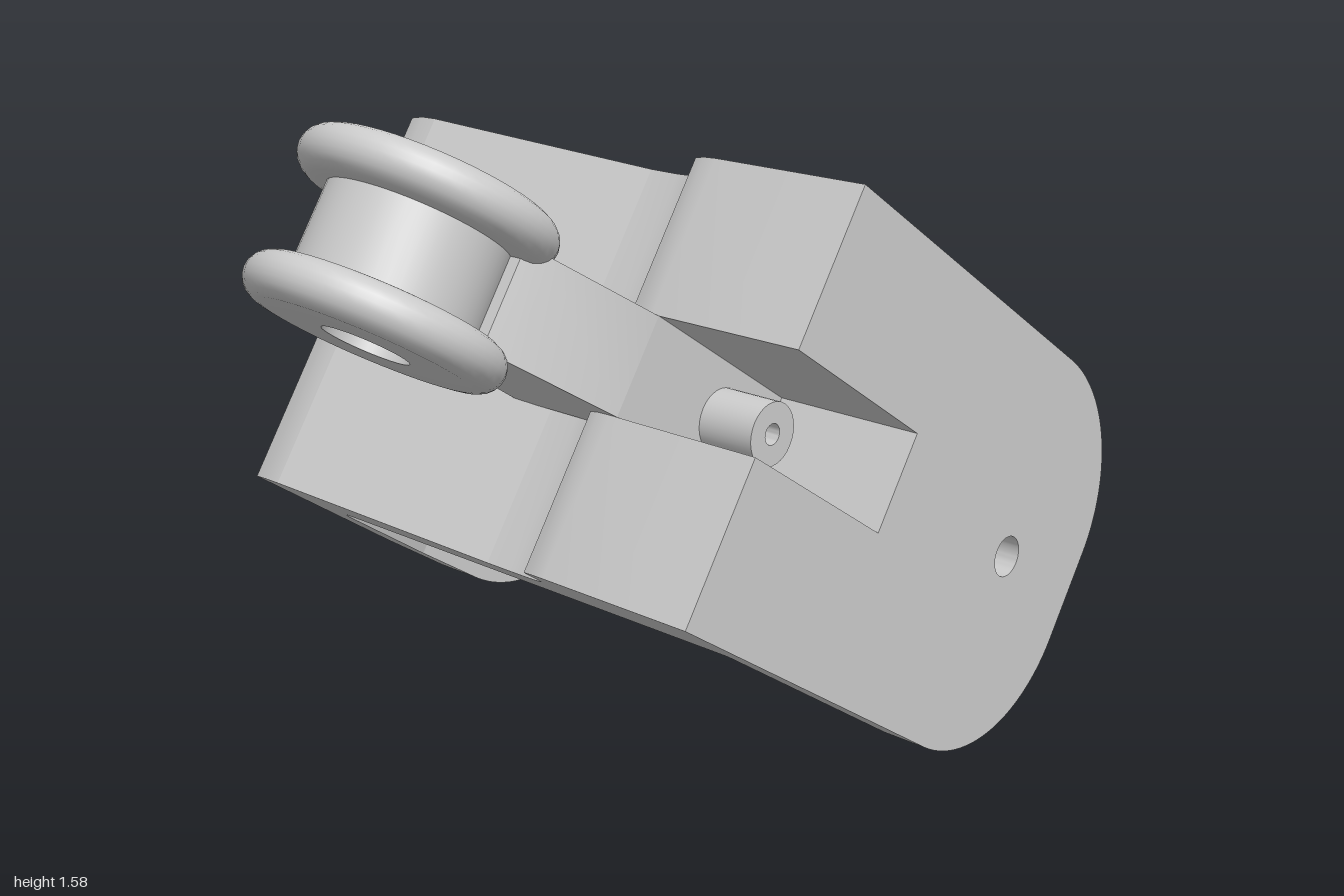
import * as THREE from 'three';
import { toCreasedNormals } from 'three/addons/utils/BufferGeometryUtils.js';

// Bracket axes: x = along the arms, y = across the arms (0..W), z = depth
const W = 0.99, MID = W / 2;
const ROUND = 0.38, END = 1.39;
const SLOT = [0.379, 0.617];

export function createModel() {
  const model = new THREE.Group();
  const body = new THREE.Group();
  body.name = 'bracketAssembly';
  body.rotation.z = THREE.MathUtils.degToRad(-33);
  body.position.set(-0.55, 0.6, 0);
  model.add(body);
  const material = new THREE.MeshStandardMaterial({ color: 0xcccccc });

  const add = (name, geometry, crease = 0.5) => {
    const mesh = new THREE.Mesh(toCreasedNormals(geometry, crease), material);
    mesh.name = name;
    body.add(mesh);
    return mesh;
  };
  const shapeOf = (pts) => new THREE.Shape(pts.map(([x, y]) => new THREE.Vector2(x, y)));
  const circle = (x, y, r) => new THREE.Path().absarc(x, y, r, 0, Math.PI * 2, true);
  const extrude = (shape, depth) =>
    new THREE.ExtrudeGeometry(shape, { depth, bevelEnabled: false, curveSegments: 24 });

  // Solid with an x-z outline, running from y0 to y1
  const slab = (name, pts, y0, y1) => {
    const g = extrude(shapeOf(pts.map(([x, z]) => [x, -z])), y1 - y0);
    g.rotateX(-Math.PI / 2).translate(0, y0, 0);
    return add(name, g);
  };

  // Pierced wall lofted between an outer and an inner x-z line
  const panel = (name, outer, inner, holeAt, r) => {
    const len = Math.hypot(outer[1][0] - outer[0][0], outer[1][1] - outer[0][1]);
    const shape = shapeOf([[0, 0], [len, 0], [len, W], [0, W]]);
    shape.holes.push(circle(holeAt * len, MID, r));
    const g = extrude(shape, 1);
    const p = g.attributes.position;
    const mix = THREE.MathUtils.lerp;
    for (let i = 0; i < p.count; i++) {
      const s = p.getX(i) / len, t = p.getZ(i);
      const at = (k) => mix(mix(outer[0][k], outer[1][k], s), mix(inner[0][k], inner[1][k], s), t);
      p.setXYZ(i, at(0), p.getY(i), at(1));
    }
    g.computeVertexNormals();
    return add(name, g);
  };

  // Arm plate with a rounded free end and a pivot hole, optionally slotted
  const arm = (name, x0, z0, z1, holeR, slotted) => {
    const s = new THREE.Shape();
    s.moveTo(x0, 0);
    s.lineTo(END - ROUND, 0);
    s.absarc(END - ROUND, ROUND, ROUND, -Math.PI / 2, 0, false);
    s.absarc(END - ROUND, W - ROUND, ROUND, 0, Math.PI / 2, false);
    s.lineTo(x0, W);
    if (slotted) {
      s.lineTo(x0, SLOT[1]);
      s.lineTo(0.511, SLOT[1]);
      s.lineTo(0.511, SLOT[0]);
      s.lineTo(x0, SLOT[0]);
    }
    s.closePath();
    s.holes.push(circle(1.055, MID, holeR));
    const g = extrude(s, z1 - z0);
    g.translate(0, 0, z0);
    return add(name, g);
  };

  arm('frontArm', 0, 0.72, 0.835, 0.05, true);
  arm('backArm', 0.78, -0.84, -0.7, 0.085, false);

  // Thick front part of the web, split around the shank slot
  const sweep = [[0.005, 0.39], [0.02, 0.355], [0.05, 0.343], [0.09, 0.338], [0.12, 0.325],
    [0.145, 0.28], [0.155, 0.2], [0.155, 0.12]];
  const rear = [[0.184, 0.12], [0.184, 0.27]];
  const web = [[0, 0.72], [0, 0.43], ...sweep, ...rear, [0.322, 0.27], [0.322, 0.72]];
  slab('lowerFrontWeb', web, 0, SLOT[0]);
  slab('upperFrontWeb', web, SLOT[1], W);
  slab('slotFloor', [[0, 0.45], [0, 0.43], ...sweep, ...rear, [0.616, 0.27], [0.616, 0.45]], ...SLOT);

  // Raised block on the inner side
  const block = [[0.322, 0.27], [0.616, 0.27], [0.616, 0.72], [0.322, 0.72]];
  slab('lowerBlock', block, 0.18, SLOT[0]);
  slab('upperBlock', block, SLOT[1], 0.81);
  slab('slotEnd', [[0.511, 0.45], [0.616, 0.45], [0.616, 0.72], [0.511, 0.72]], ...SLOT);

  // Thin rear web with its hole, and the rails that edge the inner pocket
  panel('rearWeb', [[0.155, 0.12], [0.07, -0.55]], [[0.184, 0.12], [0.184, -0.55]], 0.85, 0.068);
  const rail = [[0.184, 0.27], [0.322, 0.27], [0.322, -0.55], [0.184, -0.55]];
  slab('lowerRail', rail, 0, 0.155);
  slab('upperRail', rail, 0.825, W);

  // Bend and slanted wall leading to the back arm
  slab('rearCorner', [[0.07, -0.55], [0.073, -0.6], [0.095, -0.66], [0.38, -0.735], [0.41, -0.606],
    [0.375, -0.595], [0.322, -0.55]], 0, W);
  panel('slantedWall', [[0.38, -0.735], [0.78, -0.84]], [[0.41, -0.606], [0.785, -0.7]], 0.72, 0.066);

  // Shank carrying the spool
  slab('shank', [[0.15, 0.01], [0.15, 0.33], [0.02, 0.45], [0, 0.45], [-0.28, 0.36], [-0.34, 0.335],
    [-0.34, 0.01]], ...SLOT);

  // Pin in the slot, with a small centre dimple
  const pin = new THREE.LatheGeometry([[0.075, 0], [0.075, 0.15], [0.025, 0.15], [0.025, 0.08], [0, 0.08]]
    .map(([x, y]) => new THREE.Vector2(x, y)), 32);
  pin.rotateX(Math.PI / 2).translate(0.333, MID, 0.45);
  add('slotPin', pin);

  // Spool: two rounded flanges on a hollow core
  const R = 0.295, T = 0.052, OFF = 0.143, CORE = 0.21, BORE = 0.1;
  const profile = [[BORE, -OFF - T]];
  for (const side of [-1, 1]) {
    if (side > 0) profile.push([CORE, OFF - T]);
    for (let i = 0; i <= 10; i++) {
      const a = -Math.PI / 2 + (Math.PI * i) / 10;
      profile.push([R - T + T * Math.cos(a), side * OFF + T * Math.sin(a)]);
    }
    if (side < 0) profile.push([CORE, -OFF + T]);
  }
  profile.push([BORE, OFF + T], [BORE, -OFF - T]);
  const spool = new THREE.LatheGeometry(profile.map(([x, y]) => new THREE.Vector2(x, y)), 48);
  spool.translate(-0.455, MID, 0.13);
  add('spool', spool, 0.7);

  return model;
}
